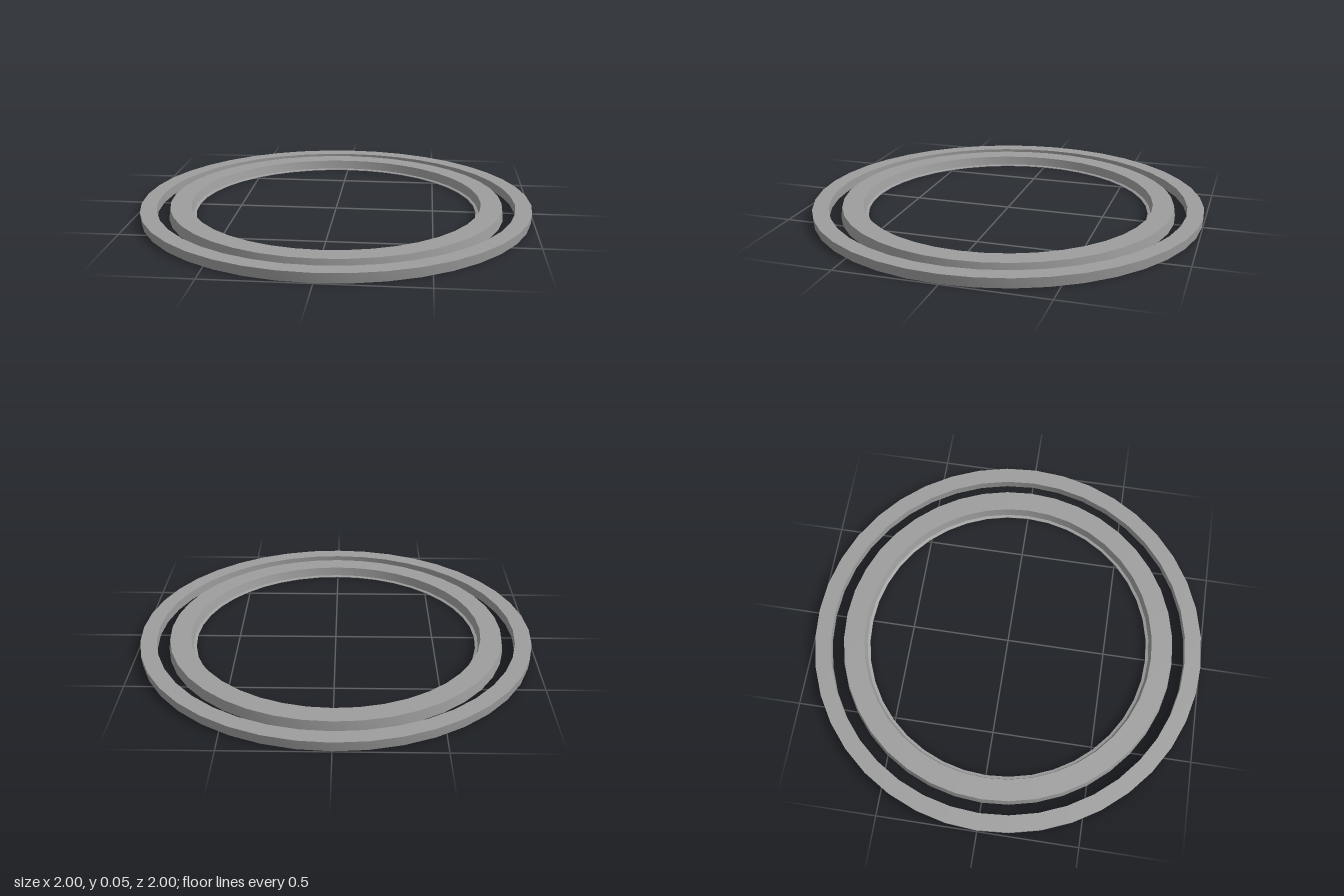
import * as THREE from 'three';
import { toCreasedNormals } from 'three/addons/utils/BufferGeometryUtils.js';

const SEGMENTS = 40;

// Revolve a closed [radius, height] cross-section, listed counter-clockwise
function ring(name, section, material) {
  const points = [...section, section[0]].map(([r, y]) => new THREE.Vector2(r, y));
  const geometry = toCreasedNormals(new THREE.LatheGeometry(points, SEGMENTS), 0.4);
  const mesh = new THREE.Mesh(geometry, material);
  mesh.name = name;
  return mesh;
}

export function createModel() {
  const group = new THREE.Group();
  group.name = 'concentricRings';
  const material = new THREE.MeshStandardMaterial({ color: 0x9d9d9d });

  // Plain outer band, slightly narrower at the bottom
  group.add(ring('outerRing', [
    [0.917, 0], [0.996, 0], [1, 0.048], [0.917, 0.048],
  ], material));

  // Inner band with sloping walls and a low lip around the opening
  group.add(ring('innerRing', [
    [0.72, 0], [0.858, 0], [0.85, 0.052], [0.744, 0.052], [0.734, 0.007], [0.72, 0.003],
  ], material));

  return group;
}
